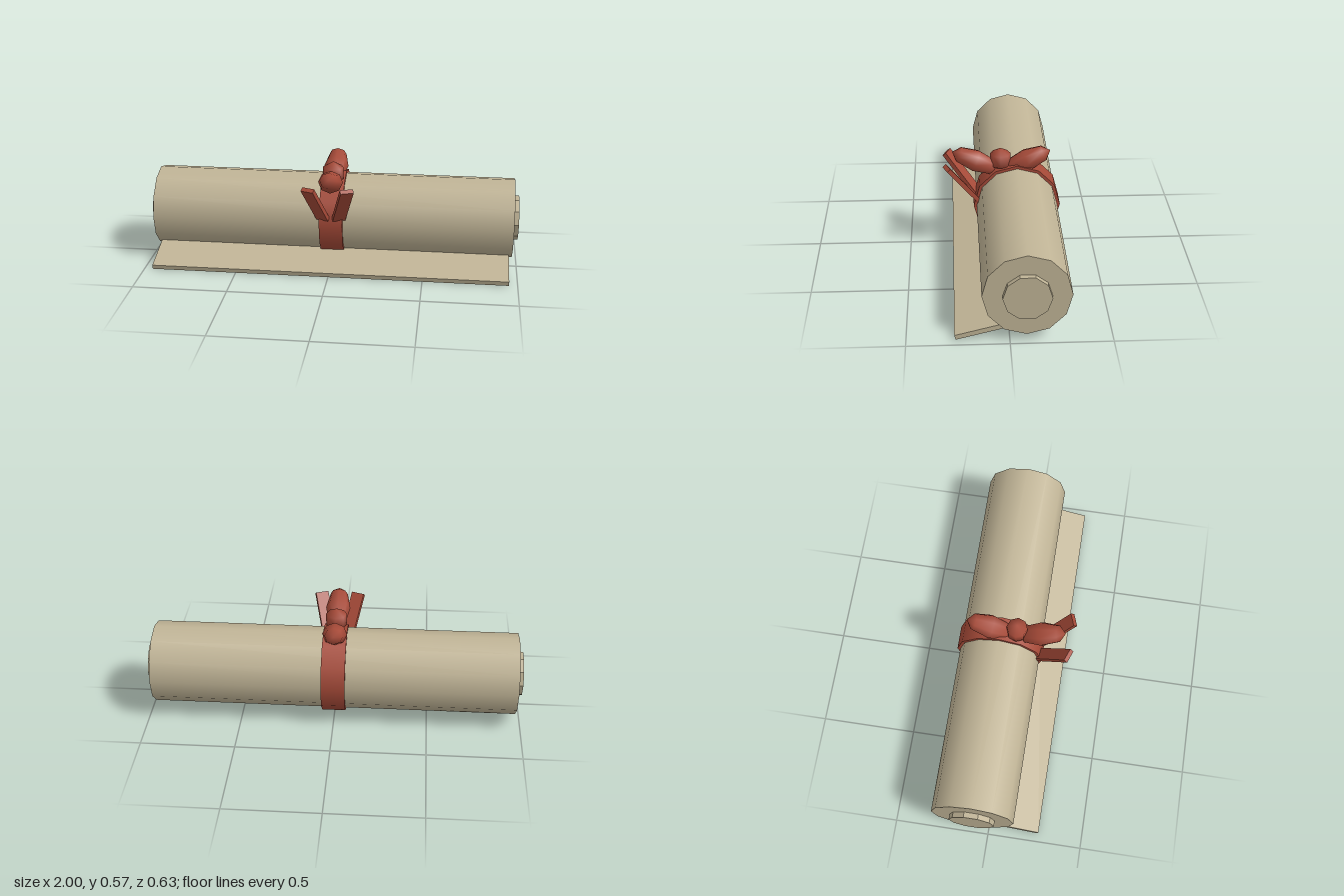
import * as THREE from 'three';

const paper = new THREE.MeshStandardMaterial({ color: 0xc0b496 });
paper.name = 'paper';
const ribbonRed = new THREE.MeshStandardMaterial({ color: 0xa64a38 });
ribbonRed.name = 'ribbon red';
const paperFlat = paper;

const ROLL_Y = 0.255, ROLL_Z = -0.082;

export function createModel() {
  const group = new THREE.Group();

  const add = (name, geometry, material) => {
    const mesh = new THREE.Mesh(geometry, material);
    mesh.name = name;
    group.add(mesh);
    return mesh;
  };

  // Cylinder lying along x on the axis of the roll
  const barrel = (radius, length, sides) =>
    new THREE.CylinderGeometry(radius, radius, length, sides)
      .rotateZ(Math.PI / 2)
      .translate(0, ROLL_Y, ROLL_Z);

  // Rolled sheet, its inner core and the ribbon band
  add('roll', barrel(0.217, 1.944, 12), paper);
  const core = barrel(0.119, 2, 10).toNonIndexed();
  core.computeVertexNormals();
  add('innerCore', core, paperFlat);
  add('ribbonBand', barrel(0.233, 0.126, 12), ribbonRed);

  // Loose edge of the sheet resting on the ground
  const flap = add('looseFlap', new THREE.BoxGeometry(1.91, 0.025, 0.27), paper);
  flap.position.set(0, 0.0484, 0.1333);
  flap.rotation.x = THREE.MathUtils.degToRad(14.4);

  // Bow: a round knot between two tilted loops
  const knot = add('bowKnot', new THREE.SphereGeometry(0.064, 8, 3), ribbonRed);
  knot.position.set(0, 0.504, 0.005);
  for (const side of [1, -1]) {
    const loop = add(side > 0 ? 'frontBowLoop' : 'backBowLoop',
      new THREE.SphereGeometry(1, 8, 4), ribbonRed);
    loop.scale.set(0.066, 0.135, 0.06);
    loop.rotation.x = side * THREE.MathUtils.degToRad(66.5);
    loop.position.set(0, 0.496, side * 0.139);
  }

  // Two ribbon tails spreading up and forward
  for (const side of [1, -1]) {
    const start = new THREE.Vector3(side * 0.042, 0.286, 0.131);
    const end = new THREE.Vector3(side * 0.102, 0.503, 0.294);
    const along = end.clone().sub(start);
    const length = along.length();
    along.normalize();
    const across = new THREE.Vector3(along.z, 0, -along.x).normalize();
    const normal = new THREE.Vector3().crossVectors(across, along);
    const tail = add(side > 0 ? 'leftTail' : 'rightTail',
      new THREE.BoxGeometry(0.07, length, 0.024), ribbonRed);
    tail.quaternion.setFromRotationMatrix(
      new THREE.Matrix4().makeBasis(across, along, normal));
    tail.position.copy(start).lerp(end, 0.5);
  }

  return group;
}
